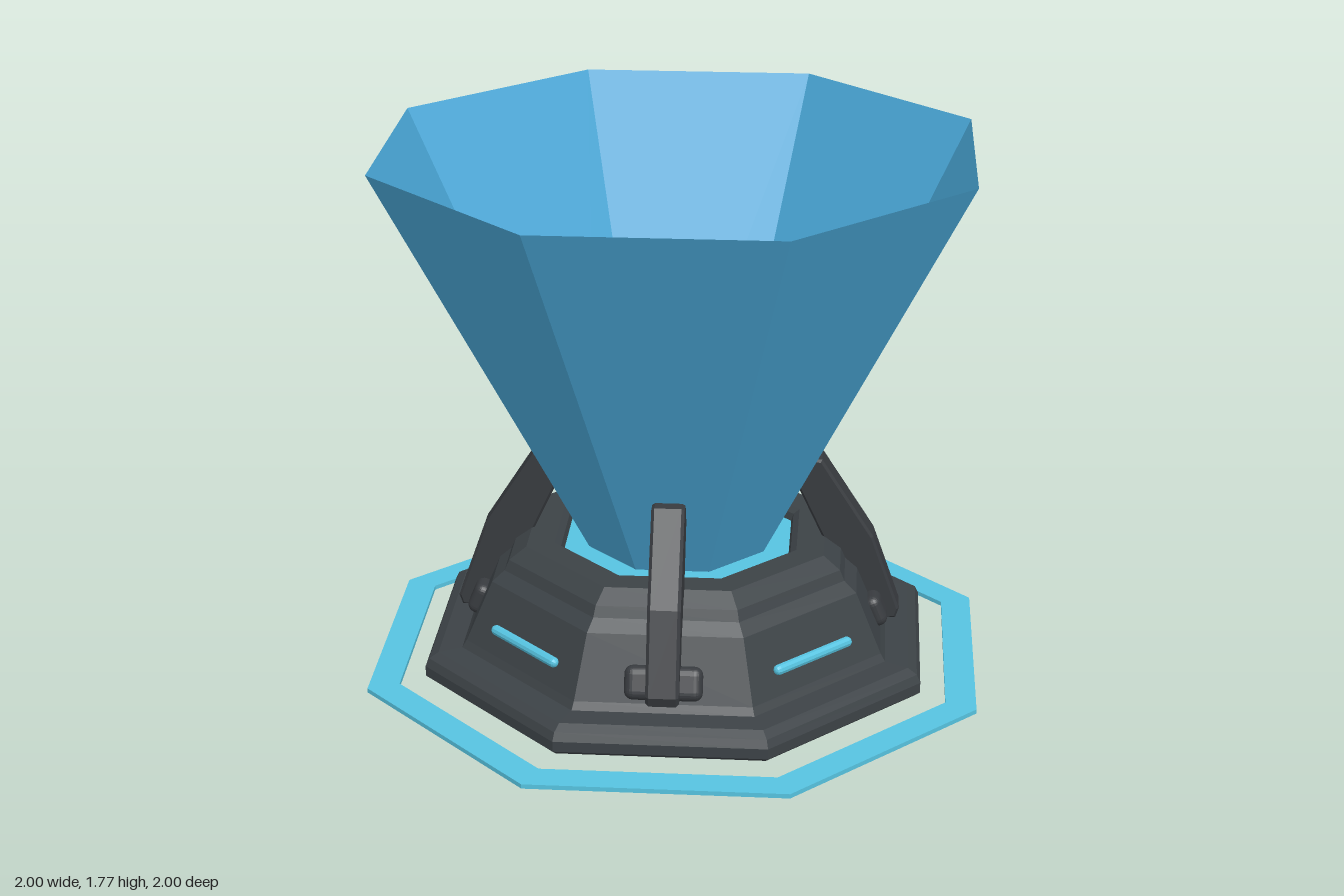
import * as THREE from 'three';
import { RoundedBoxGeometry } from 'three/addons/geometries/RoundedBoxGeometry.js';

const mat = (name, color, opts = {}) => {
  const m = new THREE.MeshStandardMaterial({ color, flatShading: true, ...opts });
  m.name = name;
  return m;
};

// Eight-sided lathe; profile radii are measured to the middle of the flat sides
function octagon(profile) {
  const k = 1 / Math.cos(Math.PI / 8);
  const pts = profile.map(([r, y]) => new THREE.Vector2(r * k, y));
  return new THREE.LatheGeometry(pts, 8).rotateY(Math.PI / 8);
}

export function createModel() {
  const model = new THREE.Group();
  model.name = 'beamProjector';
  const dark = mat('darkMetal', 0x3c4246);
  const armDark = mat('armMetal', 0x383b3f);
  const cyan = mat('cyanGlow', 0x56c3e0);
  const blue = mat('blueBeam', 0x4aa8d8, { side: THREE.DoubleSide });

  const add = (parent, name, geometry, material) => {
    const mesh = new THREE.Mesh(geometry, material);
    mesh.name = name;
    parent.add(mesh);
    return mesh;
  };

  // Flat ring on the ground
  add(model, 'groundRing', octagon([[0.9, 0], [1, 0], [1, 0.015], [0.9, 0.015], [0.9, 0]]), cyan);

  // Base with a rounded skirt, sloped sides and a sunken top
  add(model, 'base', octagon([
    [0, 0.015], [0.8, 0.015], [0.817, 0.03], [0.817, 0.065], [0.805, 0.092], [0.775, 0.11],
    [0.7, 0.115], [0.685, 0.14], [0.6, 0.34], [0.56, 0.375], [0.545, 0.41], [0.49, 0.45],
    [0.4, 0.45], [0.38, 0.435], [0.37, 0.4],
  ]), dark);
  add(model, 'emitterFloor', octagon([[0.38, 0.41], [0, 0.41]]), cyan);

  // Open flaring beam
  add(model, 'beam', octagon([[0.29, 0.42], [0.935, 1.77]]), blue);

  // Arm side outline: x is the distance from the axis
  const outline = new THREE.Shape([
    [0.73, 0.16], [0.74, 0.19], [0.648, 0.45], [0.475, 0.72], [0.4, 0.72],
    [0.388, 0.65], [0.41, 0.61], [0.485, 0.45], [0.53, 0.36], [0.62, 0.16],
  ].map(([x, y]) => new THREE.Vector2(x, y)));
  const armGeo = new THREE.ExtrudeGeometry(outline, {
    depth: 0.086, bevelThickness: 0.01, bevelSize: 0.008, bevelOffset: -0.004, bevelSegments: 1,
  }).translate(0, 0, -0.043);
  const footGeo = new RoundedBoxGeometry(0.06, 0.11, 0.25, 3, 0.028);
  const padGeo = new THREE.BoxGeometry(0.02, 0.05, 0.05);
  const barGeo = new THREE.CapsuleGeometry(0.0175, 0.3, 4, 10).rotateX(Math.PI / 2);

  for (let i = 0; i < 4; i++) {
    // Clamp arms on the diagonal sides
    const arm = new THREE.Group();
    arm.name = 'clampArm';
    arm.rotation.y = Math.PI / 4 + i * Math.PI / 2;
    add(arm, 'armBody', armGeo, armDark);
    const foot = add(arm, 'armFoot', footGeo, armDark);
    foot.position.set(0.665, 0.205, 0);
    foot.rotation.z = 0.4;
    add(arm, 'armPad', padGeo, cyan).position.set(0.38, 0.66, 0);
    model.add(arm);

    // Light bars on the square sides
    const side = new THREE.Group();
    side.name = 'lightBarSide';
    side.rotation.y = i * Math.PI / 2;
    add(side, 'lightBar', barGeo, cyan).position.set(0.66, 0.218, 0);
    model.add(side);
  }
  return model;
}
